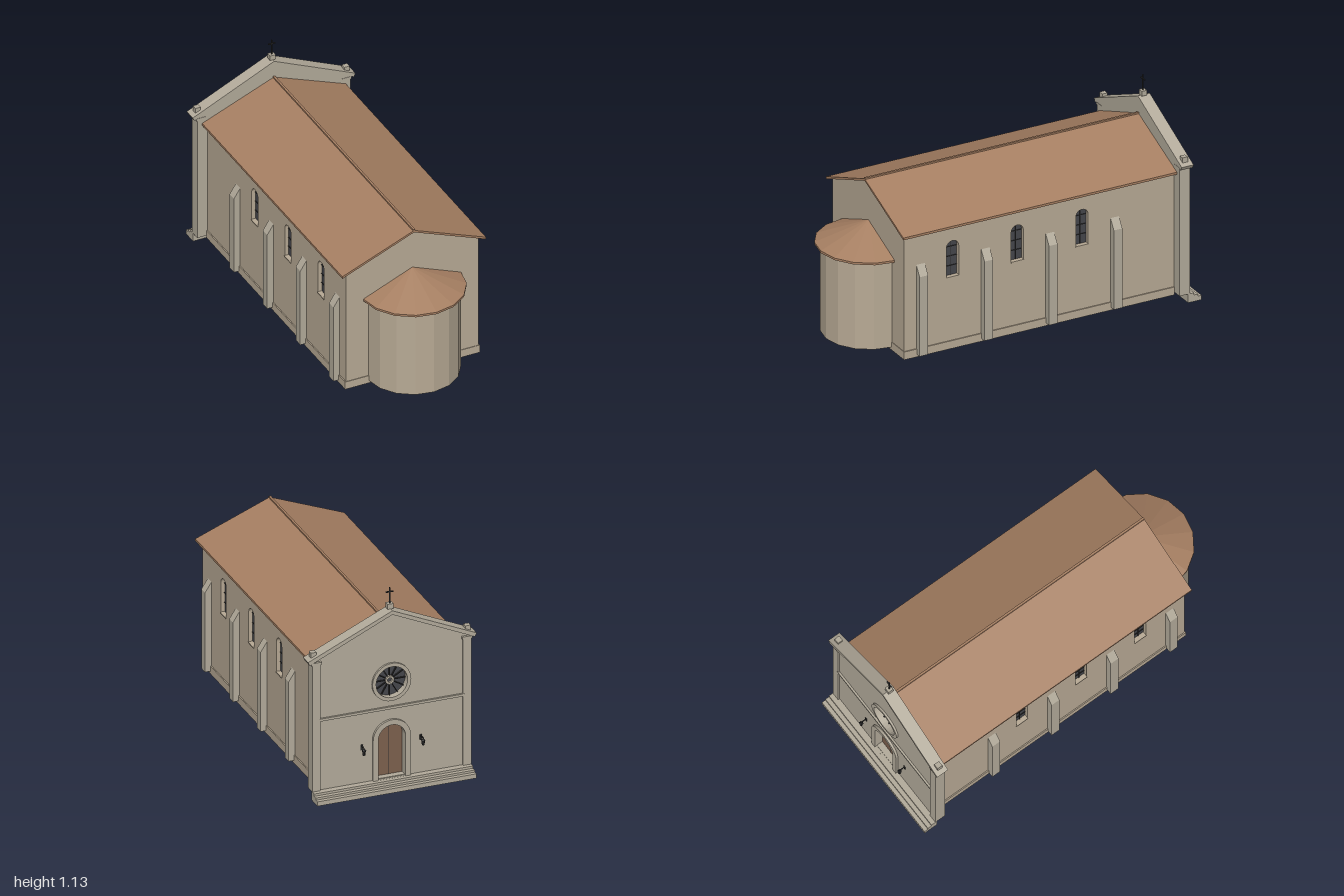
import * as THREE from 'three';

const mat = (color, side = THREE.FrontSide) =>
  new THREE.MeshStandardMaterial({ color, side, flatShading: true });

const WALL = mat(0xb8aa95, THREE.DoubleSide), STONE = mat(0xb3ab9b), ROOF = mat(0xa67f62, THREE.DoubleSide);
const GLASS = mat(0x45464b, THREE.DoubleSide), IRON = mat(0x2c2c2c), WOOD = mat(0x7d614e);

export function createModel() {
  const model = new THREE.Group();

  const add = (name, geometry, material, x = 0, y = 0, z = 0, parent = model) => {
    const mesh = new THREE.Mesh(geometry, material);
    mesh.name = name;
    mesh.position.set(x, y, z);
    parent.add(mesh);
    return mesh;
  };
  const box = (name, material, w, h, d, x, y, z, parent) =>
    add(name, new THREE.BoxGeometry(w, h, d), material, x, y, z, parent);
  const poly = (points) => new THREE.Shape(points.map(([x, y]) => new THREE.Vector2(x, y)));
  const extrude = (shape, depth) =>
    new THREE.ExtrudeGeometry(shape, { depth, bevelEnabled: false, curveSegments: 16 });
  // Round-headed opening centred on cx
  const arch = (cx, r, bottom, spring, Type = THREE.Shape) => {
    const s = new Type();
    s.moveTo(cx - r, bottom);
    s.lineTo(cx + r, bottom);
    s.lineTo(cx + r, spring);
    s.absarc(cx, spring, r, 0, Math.PI, false);
    s.lineTo(cx - r, bottom);
    return s;
  };
  const disc = (r, Type = THREE.Shape, y = 0) => {
    const s = new Type();
    s.absarc(0, y, r, 0, Math.PI * 2, false);
    return s;
  };
  // Symmetric sloping slab section: ridge height, eave half width and heights
  const chevron = (ridge, half, eave, halfLow, low, ridgeLow) => poly([
    [0, ridge], [-half, eave], [-halfLow, low], [0, ridgeLow], [halfLow, low], [half, eave]]);

  // Nave side walls with arched windows and sloped buttresses
  const windowZ = [0.434, 0.053, -0.328];
  const buttressZ = [0.623, 0.241, -0.139, -0.521];
  for (const s of [1, -1]) {
    const side = new THREE.Group();
    side.name = s > 0 ? 'leftSide' : 'rightSide';
    model.add(side);
    const wall = poly([[-0.87, 0.035], [0.72, 0.035], [0.72, 0.745], [-0.87, 0.745]]);
    wall.holes = windowZ.map((z) => arch(z, 0.036, 0.442, 0.614, THREE.Path));
    const wallGeo = extrude(wall, 0.025).rotateY(-Math.PI / 2);
    add('sideWall', wallGeo, WALL, s > 0 ? 0.383 : -0.358, 0, 0, side);
    box('sidePlinth', WALL, 0.008, 0.045, 1.592, s * 0.385, 0.0575, -0.074, side);
    for (const z of windowZ) {
      const glass = new THREE.ShapeGeometry(arch(z, 0.036, 0.442, 0.614), 16).rotateY(-Math.PI / 2);
      add('windowGlass', glass, GLASS, s * 0.361, 0, 0, side);
      box('windowMullion', IRON, 0.004, 0.205, 0.003, s * 0.363, 0.545, z, side);
      for (const y of [0.5, 0.555, 0.61])
        box('windowBar', IRON, 0.004, 0.003, 0.07, s * 0.363, y, z, side);
      box('windowSill', WALL, 0.026, 0.006, 0.074, s * 0.374, 0.443, z, side);
    }
    const buttress = poly([[s * 0.38, 0.05], [s * 0.419, 0.05], [s * 0.419, 0.505], [s * 0.38, 0.565]]);
    for (const z of buttressZ) add('buttress', extrude(buttress, 0.05), STONE, 0, 0, z - 0.025, side);
  }

  // Gable wall behind the apse
  const gable = poly([[-0.383, 0.035], [0.383, 0.035], [0.383, 0.745], [0, 0.9], [-0.383, 0.745]]);
  add('gableWall', extrude(gable, 0.02), WALL, 0, 0, 0.7);
  box('gablePlinth', WALL, 0.778, 0.045, 0.006, 0, 0.0575, 0.72);

  // Nave roof and ridge cap
  add('naveRoof', extrude(chevron(0.914, 0.415, 0.75, 0.415, 0.737, 0.902), 1.612), ROOF, 0, 0, -0.87);
  box('ridgeCap', ROOF, 0.012, 0.012, 1.612, 0, 0.914, -0.064);

  // Half-round apse with a faceted half-cone roof
  const apse = new THREE.Group();
  apse.name = 'apse';
  apse.position.z = 0.717;
  model.add(apse);
  const half = [8, 1, true, -Math.PI / 2, Math.PI];
  add('apseWall', new THREE.CylinderGeometry(0.253, 0.253, 0.505, ...half), WALL, 0, 0.3025, 0, apse);
  add('apseRoof', new THREE.ConeGeometry(0.283, 0.115, ...half), ROOF, 0, 0.6175, 0, apse);
  add('apseEave', new THREE.CylinderGeometry(0.283, 0.283, 0.012, ...half), ROOF, 0, 0.554, 0, apse);
  add('apseSoffit', new THREE.RingGeometry(0.25, 0.283, 8, 1, 0, Math.PI).rotateX(Math.PI / 2),
    ROOF, 0, 0.548, 0, apse);

  // Entrance facade with openings for the portal and the rose window
  const facade = new THREE.Group();
  facade.name = 'facade';
  model.add(facade);
  const roseY = 0.6;
  const front = poly([[-0.443, 0.05], [0.443, 0.05], [0.443, 0.792], [0, 0.992], [-0.443, 0.792]]);
  front.holes = [arch(0, 0.076, 0.055, 0.28, THREE.Path), disc(0.09, THREE.Path, roseY)];
  add('facadeWall', extrude(front, 0.05), STONE, 0, 0, -0.92, facade);
  add('facadeCoping', extrude(chevron(1.012, 0.47, 0.8, 0.46, 0.78, 0.99), 0.07), STONE, 0, 0, -0.938, facade);
  box('stringCourse', STONE, 0.81, 0.014, 0.012, 0, 0.453, -0.925, facade);
  for (const s of [1, -1]) {
    box('cornerPilaster', STONE, 0.046, 0.735, 0.012, s * 0.42, 0.4175, -0.924, facade);
    box('pilasterCapital', STONE, 0.056, 0.014, 0.066, s * 0.42, 0.78, -0.901, facade);
    box('cornerPinnacle', STONE, 0.03, 0.045, 0.03, s * 0.43, 0.818, -0.902, facade);
  }

  // Portal: arched surround and recessed door
  const surround = arch(0, 0.105, 0.05, 0.28);
  surround.holes = [arch(0, 0.076, 0.0505, 0.28, THREE.Path)];
  add('portalSurround', extrude(surround, 0.016), STONE, 0, 0, -0.933, facade);
  add('door', extrude(arch(0, 0.077, 0.05, 0.28), 0.008), WOOD, 0, 0, -0.885, facade);
  box('doorSeam', IRON, 0.002, 0.3, 0.002, 0, 0.203, -0.8855, facade);

  // Rose window: stone ring, dark glass, spokes and hub
  const rose = new THREE.Group();
  rose.name = 'roseWindow';
  rose.position.set(0, roseY, -0.92);
  facade.add(rose);
  const ring = (outer, inner) => {
    const s = disc(outer);
    s.holes = [disc(inner, THREE.Path)];
    return s;
  };
  add('roseRing', extrude(ring(0.108, 0.088), 0.014), STONE, 0, 0, -0.011, rose);
  add('roseGlass', extrude(disc(0.091), 0.006), GLASS, 0, 0, 0.03, rose);
  add('roseHub', extrude(ring(0.024, 0.013), 0.012), STONE, 0, 0, 0.016, rose);
  for (let i = 0; i < 12; i++) {
    const a = (i * Math.PI) / 6;
    const spoke = box('roseSpoke', IRON, 0.066, 0.005, 0.008,
      Math.cos(a) * 0.056, Math.sin(a) * 0.056, 0.024, rose);
    spoke.rotation.z = a;
  }

  // Roof cross on its pedestal
  box('crossPedestal', STONE, 0.032, 0.028, 0.03, 0, 1.026, -0.898);
  box('crossBase', STONE, 0.018, 0.02, 0.018, 0, 1.006, -0.898);
  box('crossUpright', IRON, 0.006, 0.09, 0.006, 0, 1.083, -0.898);
  box('crossBar', IRON, 0.04, 0.006, 0.006, 0, 1.104, -0.898);

  // Wall lanterns beside the portal
  for (const s of [1, -1]) {
    const lamp = new THREE.Group();
    lamp.name = 'wallLantern';
    lamp.position.set(s * 0.165, 0, 0);
    model.add(lamp);
    box('lanternPlate', IRON, 0.012, 0.03, 0.005, 0, 0.252, -0.9215, lamp);
    box('lanternArm', IRON, 0.005, 0.005, 0.036, 0, 0.26, -0.938, lamp);
    add('lanternCap', new THREE.ConeGeometry(0.012, 0.012, 6), IRON, 0, 0.254, -0.954, lamp);
    add('lanternBody', new THREE.CylinderGeometry(0.01, 0.007, 0.028, 6), IRON, 0, 0.235, -0.954, lamp);
  }

  // Entrance steps across the facade
  const steps = poly([[-0.92, 0], [-1, 0], [-1, 0.025], [-0.978, 0.025], [-0.978, 0.037],
    [-0.955, 0.037], [-0.955, 0.05], [-0.92, 0.05]]);
  add('entranceSteps', extrude(steps, 0.886).rotateY(-Math.PI / 2), STONE, 0.443, 0, 0);

  return model;
}
